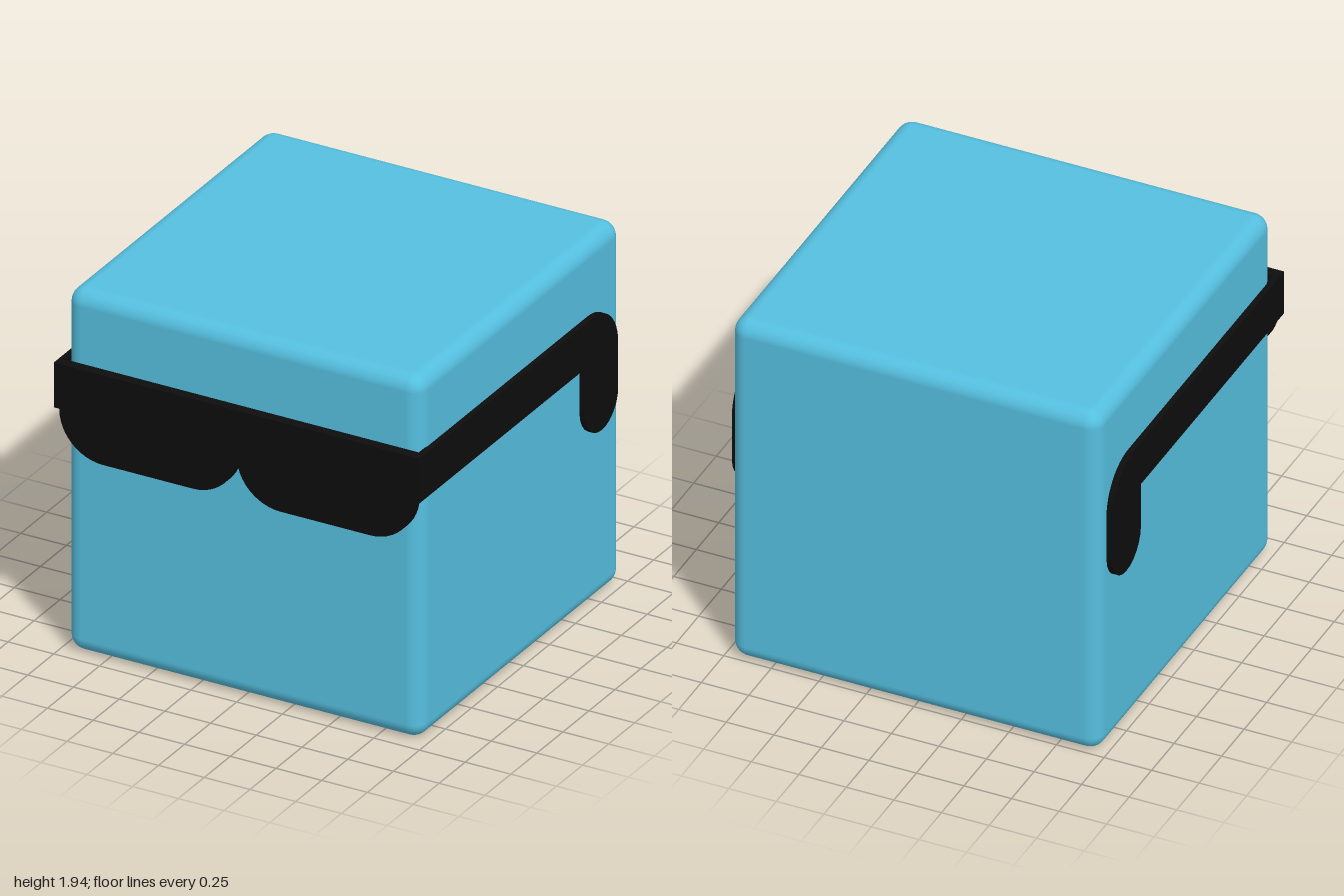
import * as THREE from 'three';
import { RoundedBoxGeometry } from 'three/addons/geometries/RoundedBoxGeometry.js';

const TOP = 1.565, MID = 1.325, R = 0.24;

export function createModel() {
  const model = new THREE.Group();
  const blue = new THREE.MeshStandardMaterial({ color: 0x55bfdf });
  const black = new THREE.MeshStandardMaterial({ color: 0x0d0d0d });

  const add = (name, geometry, material, parent = model) => {
    const mesh = new THREE.Mesh(geometry, material);
    mesh.name = name;
    parent.add(mesh);
    return mesh;
  };
  const extrude = (shape, depth) =>
    new THREE.ExtrudeGeometry(shape, { depth, bevelEnabled: false, curveSegments: 6 });

  // Rounded cube body
  const size = 1.94;
  add('body', new RoundedBoxGeometry(size, size, size, 5, 0.08), blue).position.set(0, size / 2 + 0.003, -0.03);

  const glasses = new THREE.Group();
  glasses.name = 'sunglasses';
  model.add(glasses);

  // Front plate: straight brow with two round-cornered lenses below
  const front = new THREE.Shape();
  front.moveTo(-1, TOP);
  front.lineTo(-1, MID);
  for (const [a, b] of [[-0.97, 0], [0, 0.97]]) {
    front.lineTo(a, MID);
    front.absarc(a + R, MID, R, Math.PI, Math.PI * 1.5, false);
    front.absarc(b - R, MID, R, Math.PI * 1.5, Math.PI * 2, false);
  }
  front.lineTo(1, MID);
  front.lineTo(1, TOP);
  add('lenses', extrude(front, 0.055), black, glasses).position.z = 0.945;

  // Temple arm drawn in (z, y), hooked down with a round tip
  const arm = new THREE.Shape();
  arm.moveTo(0.99, TOP);
  arm.lineTo(-0.67, TOP);
  arm.absarc(-0.67, MID, R, Math.PI / 2, Math.PI, false);
  arm.lineTo(-0.91, 1.085);
  arm.absarc(-0.75, 1.085, 0.16, Math.PI, Math.PI * 2, false);
  arm.lineTo(-0.59, MID);
  arm.lineTo(0.99, MID);
  const armGeometry = extrude(arm, 0.035).rotateY(-Math.PI / 2);
  add('leftArm', armGeometry, black, glasses).position.x = 1;
  add('rightArm', armGeometry, black, glasses).position.x = -0.965;

  return model;
}
